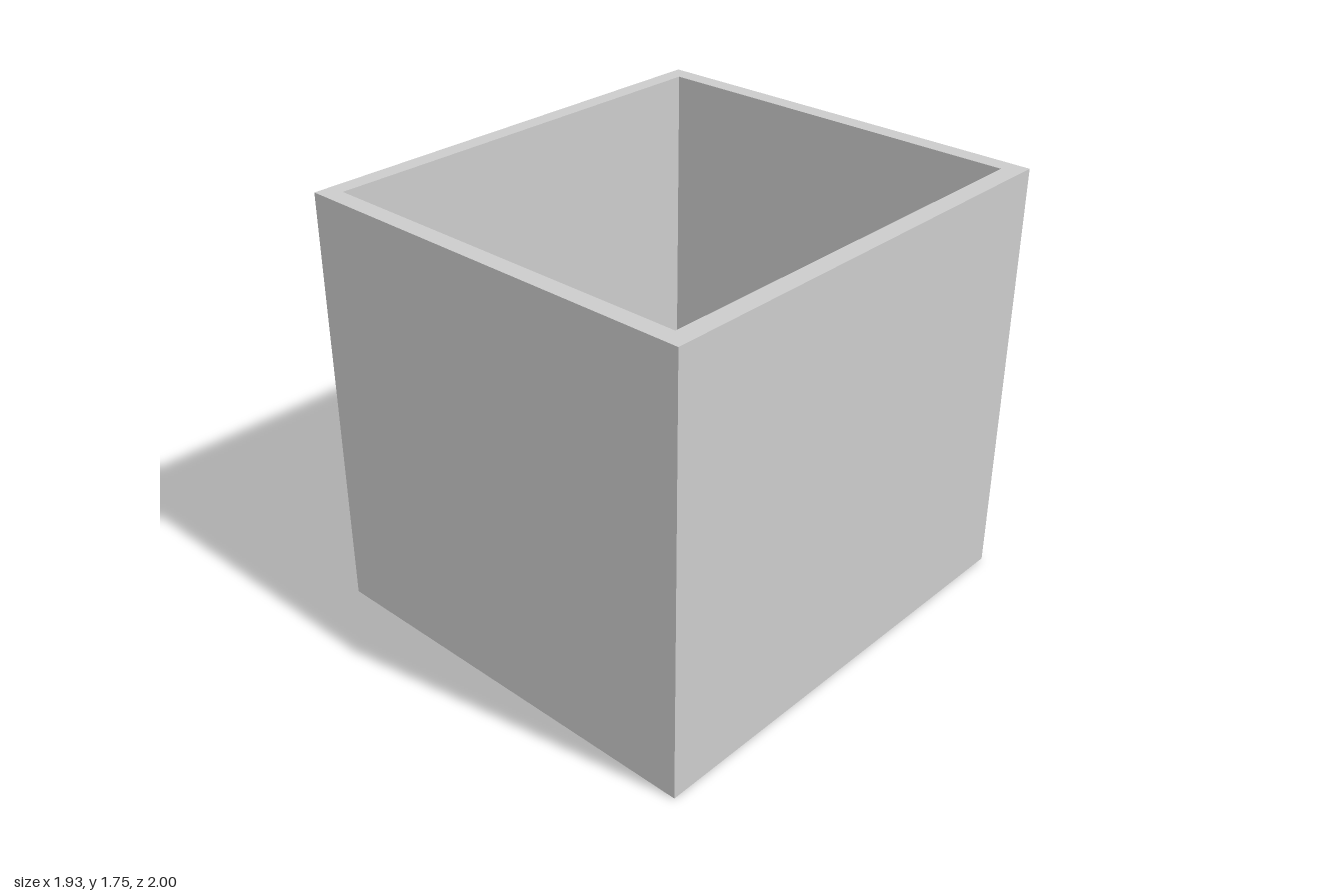
import * as THREE from 'three';

const material = new THREE.MeshStandardMaterial({ color: 0xcccccc });

function rectangle(path, x, y0, y1) {
  path.moveTo(-x, y0);
  path.lineTo(x, y0);
  path.lineTo(x, y1);
  path.lineTo(-x, y1);
  path.closePath();
  return path;
}

function part(name, geometry) {
  const mesh = new THREE.Mesh(geometry, material);
  mesh.name = name;
  return mesh;
}

export function createModel() {
  const model = new THREE.Group();
  model.name = 'drawer';
  const height = 1.745, floorThickness = 0.07;
  const back = -0.74, innerBack = -0.67, innerFront = 0.923, innerX = 0.893;

  // Four walls as one upright rectangular ring (shape y becomes -z)
  const outline = rectangle(new THREE.Shape(), 0.965, -1, -back);
  outline.holes.push(rectangle(new THREE.Path(), innerX, -innerFront, -innerBack));
  const walls = new THREE.ExtrudeGeometry(outline, { depth: height, bevelEnabled: false });
  walls.rotateX(-Math.PI / 2);
  model.add(part('walls', walls));

  // Bottom panel fitted between the walls
  const floor = part('floor', new THREE.BoxGeometry(innerX * 2, floorThickness, innerFront - innerBack));
  floor.position.set(0, floorThickness / 2, (innerFront + innerBack) / 2);
  model.add(floor);

  // Turned knob: straight stem, small fillet, rounded head with a gentle dome
  const profile = new THREE.Path();
  profile.moveTo(0.095, 0);
  profile.lineTo(0.095, 0.138);
  profile.quadraticCurveTo(0.095, 0.16, 0.117, 0.16);
  profile.lineTo(0.165, 0.16);
  profile.quadraticCurveTo(0.19, 0.16, 0.19, 0.185);
  profile.lineTo(0.19, 0.2);
  profile.bezierCurveTo(0.19, 0.235, 0.165, 0.25, 0.12, 0.256);
  profile.quadraticCurveTo(0.06, 0.26, 0, 0.26);
  const knob = part('knob', new THREE.LatheGeometry(profile.getPoints(8), 48));
  knob.rotation.x = -Math.PI / 2;
  knob.position.set(0, 0.873, back);
  model.add(knob);

  return model;
}
